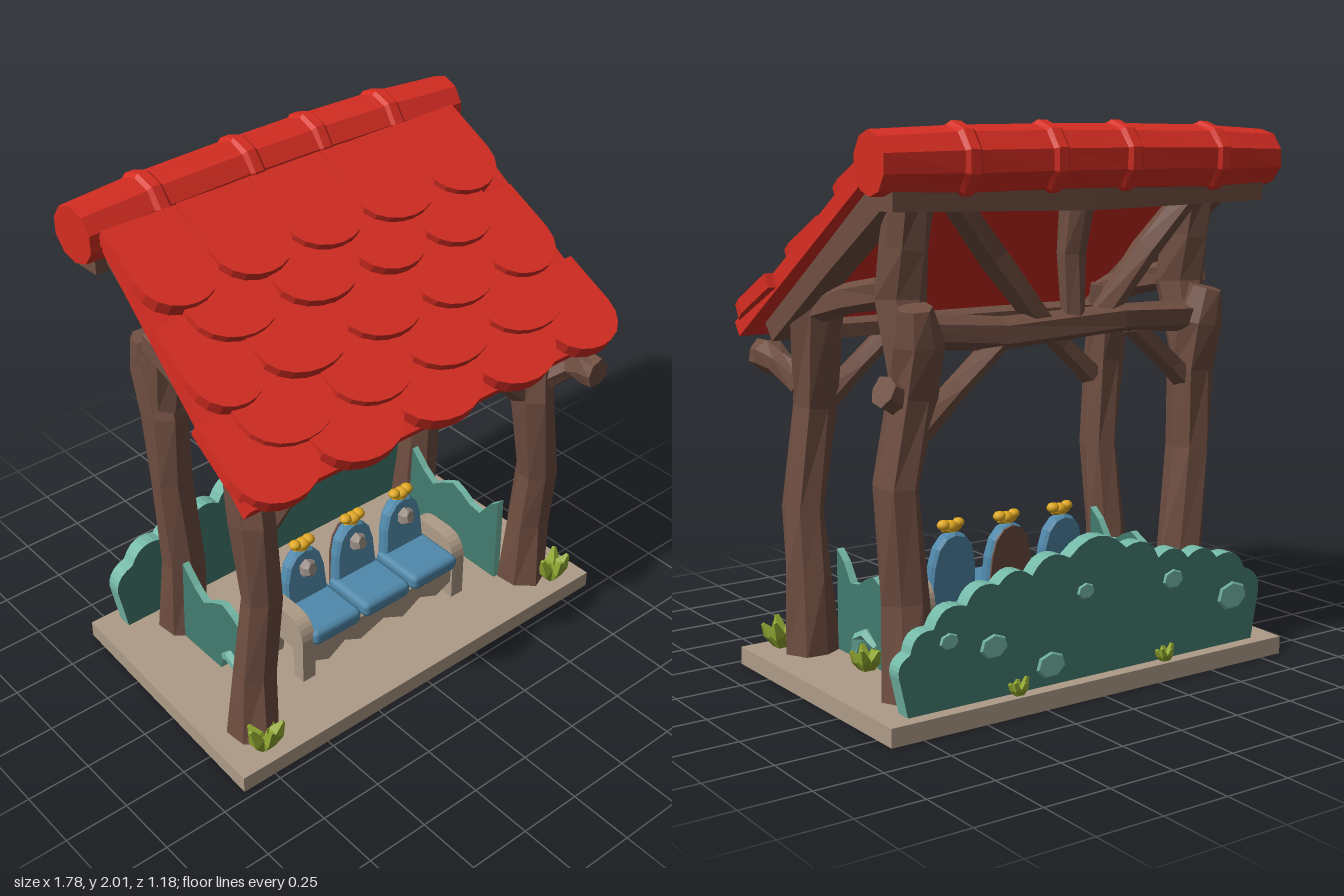
import * as THREE from 'three';
import { RoundedBoxGeometry } from 'three/addons/geometries/RoundedBoxGeometry.js';

const paint = (name, color) => Object.assign(new THREE.MeshStandardMaterial({ color }), { name });

export function createModel() {
  const model = new THREE.Group();
  model.name = 'shelter';
  const stone = paint('pale stone', 0xae9b87), wood = paint('brown wood', 0x6f4e41);
  const red = paint('red tile', 0xd62d22), blue = paint('blue cushion', 0x5089ab);
  const hedge = paint('dark hedge', 0x437b6f), hedgeEdge = paint('light hedge edge', 0x74b8a7);
  const gold = paint('gold', 0xe0a820), green = paint('grass green', 0x8ea430), grey = paint('grey knob', 0x988c84);

  const add = (name, geo, mat, parent = model) => {
    const g = geo.index ? geo.toNonIndexed() : geo;
    if (geo.index) g.computeVertexNormals(); // faceted look
    const m = new THREE.Mesh(g, mat);
    m.name = name;
    parent.add(m);
    return m;
  };

  // Faceted, slightly gnarled limb through [x, y, z, radius] points
  const limb = (name, pts, mat = wood, n = 7, rough = 0.1, parent = model) => {
    const P = pts.map(p => new THREE.Vector3(p[0], p[1], p[2]));
    const dir = P[P.length - 1].clone().sub(P[0]).normalize();
    const ref = Math.abs(dir.y) > 0.75 ? new THREE.Vector3(0, 0, 1) : new THREE.Vector3(0, 1, 0);
    const pos = [], idx = [];
    P.forEach((p, i) => {
      const t = P[Math.min(i + 1, P.length - 1)].clone().sub(P[Math.max(i - 1, 0)]).normalize();
      const u = ref.clone().cross(t).normalize(), v = t.clone().cross(u);
      for (let j = 0; j < n; j++) {
        const a = (j + 0.5) / n * Math.PI * 2, r = pts[i][3] * (1 + rough * Math.sin(j * 2.3 + i * 1.7));
        pos.push(...p.clone().addScaledVector(u, r * Math.cos(a)).addScaledVector(v, r * Math.sin(a)).toArray());
      }
    });
    const end = P.length - 1, c0 = pos.length / 3;
    pos.push(...P[0].toArray(), ...P[end].toArray());
    for (let j = 0; j < n; j++) {
      const k = (j + 1) % n;
      for (let i = 0; i < end; i++) {
        const a = i * n + j, b = i * n + k;
        idx.push(a, b, b + n, a, b + n, a + n);
      }
      idx.push(c0, k, j, c0 + 1, end * n + j, end * n + k);
    }
    const g = new THREE.BufferGeometry();
    g.setAttribute('position', new THREE.Float32BufferAttribute(pos, 3));
    g.setIndex(idx);
    return add(name, g, mat, parent);
  };
  const poly = pts => new THREE.Shape(pts.map(p => new THREE.Vector2(p[0], p[1])));
  const slab = (shape, depth, opt = {}) =>
    new THREE.ExtrudeGeometry(shape, { depth, bevelEnabled: false, curveSegments: 6, ...opt });

  // Floor, a little narrower at the back
  const floor = slab(poly([[-0.89, -0.47], [0.89, -0.47], [0.875, 0.59], [-0.845, 0.59]]), 0.067);
  add('floor', floor.rotateX(-Math.PI / 2), stone);

  // Front posts with the knot on one of them
  limb('frontPost', [[-0.7, 0.05, 0.29, 0.1], [-0.69, 0.35, 0.29, 0.08], [-0.67, 0.7, 0.31, 0.075],
    [-0.69, 1.05, 0.31, 0.085], [-0.68, 1.36, 0.27, 0.08]]);
  limb('frontPost', [[0.69, 0.05, 0.29, 0.1], [0.7, 0.35, 0.29, 0.085], [0.7, 0.6, 0.31, 0.08],
    [0.65, 0.98, 0.31, 0.085], [0.66, 1.36, 0.27, 0.095]]);
  limb('frontKnot', [[0.68, 1.06, 0.33, 0.06], [0.73, 1.13, 0.42, 0.05], [0.74, 1.15, 0.49, 0.065], [0.74, 1.15, 0.55, 0.055]]);

  // Rear posts: trunk with a broken top and a limb up to the ridge
  for (const [s, x0, x1] of [[-1, 0.55, 0.58], [1, 0.67, 0.64]]) {
    limb('rearPost', [[s * x0, 0.05, -0.36, 0.1], [s * x0, 0.4, -0.34, 0.085], [s * (x0 + 0.03), 0.8, -0.35, 0.08],
      [s * x1, 1.1, -0.35, 0.09], [s * x1, 1.28, -0.39, 0.085], [s * (x1 + 0.02), 1.4, -0.41, 0.06]]);
    limb('rearUpperLimb', [[s * x1, 1.15, -0.33, 0.07], [s * x1, 1.42, -0.28, 0.09], [s * x1, 1.6, -0.32, 0.085], [s * x1, 1.8, -0.36, 0.085]]);
    // Side beam, rafter and knee braces
    limb('sideBeam', [[s * 0.67, 1.33, 0.29, 0.055], [s * 0.66, 1.4, 0, 0.06], [s * 0.63, 1.45, -0.3, 0.06]], wood, 6);
    limb('rafter', [[s * 0.73, 1.26, 0.41, 0.075], [s * 0.71, 1.53, 0.03, 0.075], [s * 0.69, 1.82, -0.4, 0.075]], wood, 4, 0);
    for (const z of [0.3, -0.37])
      limb('kneeBrace', [[s * 0.62, 0.99, z, 0.05], [s * 0.47, 1.12, z, 0.04], [s * 0.28, 1.28, z, 0.045]], wood, 5);
    // Struts fanning up from the rear beam
    limb('roofStrut', [[s * 0.13, 1.32, -0.38, 0.045], [s * 0.33, 1.55, -0.38, 0.05], [s * 0.52, 1.76, -0.41, 0.05]], wood, 5);
  }
  limb('centreStrut', [[0, 1.31, -0.39, 0.045], [0.01, 1.55, -0.39, 0.05], [0, 1.78, -0.42, 0.06]], wood, 6);
  limb('rearStub', [[0.65, 1.05, -0.36, 0.05], [0.72, 1.11, -0.36, 0.055], [0.76, 1.13, -0.37, 0.055]]);
  add('frontBeam', new THREE.BoxGeometry(1.42, 0.05, 0.19), wood).position.set(0, 1.255, 0.325);
  limb('rearBeam', [[-0.66, 1.29, -0.37, 0.06], [-0.2, 1.31, -0.39, 0.055], [0.3, 1.29, -0.38, 0.06], [0.66, 1.32, -0.37, 0.06]], wood, 6);
  limb('ridgeBeam', [[-0.79, 1.77, -0.44, 0.075], [0, 1.755, -0.46, 0.075], [0.79, 1.77, -0.44, 0.075]], wood, 4, 0);

  // Roof: local y runs up the slope, local z points out of it
  const roof = new THREE.Group(), pitch = 36 * Math.PI / 180;
  roof.name = 'roof';
  roof.position.set(0, 1.2, 0.53);
  roof.rotation.x = pitch - Math.PI / 2;
  model.add(roof);
  add('roofPanel', slab(poly([[-0.855, 0.05], [0.855, 0.05], [0.785, 1.12], [-0.785, 1.12]]), 0.06), red, roof);
  // Each row: distance up the slope, then the joints between its tiles
  const rows = [
    [0.005, [-0.865, -0.54, -0.18, 0.19, 0.55, 0.87]],
    [0.165, [-0.73, -0.37, -0.03, 0.34, 0.71]],
    [0.355, [-0.82, -0.55, -0.19, 0.15, 0.5, 0.81]],
    [0.56, [-0.69, -0.35, 0.0, 0.31, 0.64]],
    [0.73, [-0.8, -0.5, -0.19, 0.13, 0.47, 0.78]],
  ];
  rows.forEach(([s, xs], r) => {
    for (let i = 0; i < xs.length - 1; i++) {
      const w = (xs[i + 1] - xs[i]) / 2 + 0.004, d = 0.15, len = 0.37;
      const tile = new THREE.Shape();
      tile.moveTo(-w, d);
      tile.bezierCurveTo(-w, -0.05, w, -0.05, w, d);
      tile.lineTo(w * 0.95, len);
      tile.lineTo(-w * 0.95, len);
      const geo = slab(tile, 0.055, { curveSegments: 10 });
      geo.translate(0, -len, 0);
      const m = add('roofTile', geo, red, roof);
      m.position.set((xs[i] + xs[i + 1]) / 2, s + len, 0.008 + r * 0.004 + (i % 2) * 0.006);
      m.rotation.x = -0.12 - (i % 3) * 0.015;
    }
  });

  // Ridge cap with collars, bowed slightly to the rear
  const ridge = (x, r) => [x, 1.878 - 0.01 * Math.abs(x), -0.42 - 0.035 * (1 - x * x), r];
  limb('ridgeCap', [-0.84, -0.53, -0.13, 0.19, 0.52, 0.84].map((x, i) => ridge(x, i % 5 ? 0.118 : 0.106)), red, 10, 0.01);
  for (const x of [-0.54, -0.13, 0.18, 0.52])
    limb('ridgeCollar', [ridge(x - 0.035, 0.115), ridge(x - 0.018, 0.13), ridge(x + 0.018, 0.13), ridge(x + 0.035, 0.115)], red, 10, 0.01);

  // Back hedge with a scalloped top
  const back = new THREE.Shape();
  back.moveTo(-0.74, 0.06);
  let px = -0.77, py = 0.22;
  back.lineTo(px, py);
  for (const [x, y] of [[-0.7, 0.35], [-0.56, 0.41], [-0.42, 0.43], [-0.28, 0.45], [-0.13, 0.51], [0.12, 0.51],
    [0.28, 0.47], [0.42, 0.46], [0.55, 0.41], [0.68, 0.35], [0.77, 0.28], [0.81, 0.19]]) {
    const dx = x - px, dy = y - py;
    back.quadraticCurveTo((px + x) / 2 - dy * 0.48, (py + y) / 2 + dx * 0.48, x, y);
    px = x; py = y;
  }
  back.lineTo(0.78, 0.06);
  add('backHedge', slab(back, 0.06), [hedge, hedgeEdge]).position.z = -0.54;
  for (const [x, y, r] of [[0.44, 0.25, 0.06], [0.2, 0.14, 0.065], [-0.35, 0.36, 0.05], [-0.64, 0.25, 0.075], [0.05, 0.38, 0.04], [0.62, 0.3, 0.04]]) {
    const leaf = add('hedgeLeaf', new THREE.CylinderGeometry(r * 0.85, r, 0.008, 7), hedgeEdge);
    leaf.rotation.x = -Math.PI / 2;
    leaf.position.set(x, y, -0.543);
    leaf.scale.z = 0.75;
  }

  // Side hedges between the posts, each with a small gap at the foot
  const side = [[-0.24, 0.06], [-0.24, 0.45], [-0.19, 0.41], [-0.14, 0.34], [-0.08, 0.35], [-0.03, 0.38], [0.02, 0.4],
    [0.08, 0.37], [0.14, 0.33], [0.2, 0.37], [0.27, 0.44], [0.29, 0.06], [0.05, 0.06], [0.03, 0.13], [-0.03, 0.13], [-0.07, 0.06]];
  for (const s of [-1, 1]) {
    const geo = slab(poly([...side].reverse()), 0.03);
    geo.rotateY(Math.PI / 2);
    add('sideHedge', geo, [hedge, hedgeEdge]).position.x = s * 0.59 - 0.015;
    // Pale sprig arching over the gap
    limb('sprig', [[s * 0.6, 0.07, 0.12, 0.022], [s * 0.61, 0.15, 0.08, 0.026], [s * 0.61, 0.18, 0.02, 0.024], [s * 0.6, 0.14, -0.03, 0.015]], hedgeEdge, 5);
  }

  // Bench: jagged apron, seat and arched arms
  const apron = poly([[-0.37, 0.22], [-0.37, 0.14], [-0.28, 0.1], [-0.2, 0.15], [-0.12, 0.11], [0, 0.15],
    [0.1, 0.1], [0.19, 0.15], [0.28, 0.11], [0.37, 0.15], [0.37, 0.22]]);
  add('benchSeat', slab(apron, 0.22), stone).position.z = -0.01;
  for (const s of [-1, 1]) {
    const arm = new THREE.Shape();
    arm.moveTo(-0.22, 0.06);
    arm.lineTo(-0.22, 0.26);
    arm.quadraticCurveTo(-0.21, 0.35, -0.12, 0.35);
    arm.lineTo(-0.04, 0.35);
    arm.quadraticCurveTo(0.04, 0.34, 0.04, 0.26);
    arm.lineTo(0.04, 0.06);
    arm.lineTo(-0.02, 0.06);
    arm.lineTo(-0.04, 0.2);
    arm.lineTo(-0.16, 0.2);
    arm.lineTo(-0.17, 0.06);
    const geo = slab(arm, 0.06);
    geo.rotateY(Math.PI / 2);
    add('benchArm', geo, stone).position.x = s * 0.385 - 0.03;
  }

  // Three seats with crowned backrests
  const seatBack = k => {
    const sh = new THREE.Shape();
    sh.moveTo(-0.095 * k, 0);
    sh.lineTo(0.095 * k, 0);
    sh.lineTo(0.085 * k, 0.14);
    sh.bezierCurveTo(0.07 * k, 0.29 * k, -0.07 * k, 0.29 * k, -0.085 * k, 0.14);
    return sh;
  };
  [-0.25, 0, 0.25].forEach((x, i) => {
    const seat = new THREE.Group();
    seat.name = 'seat';
    seat.position.set(x, 0, 0);
    model.add(seat);
    add('cushion', new RoundedBoxGeometry(0.235, 0.07, 0.24, 1, 0.025), blue, seat).position.set(0, 0.255, 0.12);
    const b = add('backrest', slab(seatBack(1), 0.03, { bevelEnabled: true, bevelSize: 0.01, bevelThickness: 0.012, bevelSegments: 1 }), blue, seat);
    b.position.set(0, 0.25, 0.01);
    b.rotation.x = -0.07;
    if (i === 1) {
      const p = add('backrestPanel', slab(seatBack(1.02), 0.008), wood, seat);
      p.position.set(0, 0.25, -0.01);
      p.rotation.x = -0.07;
    }
    limb('knob', [[0, 0.435, 0.02, 0.035], [0, 0.435, 0.06, 0.036], [0.005, 0.44, 0.075, 0.026]], grey, 6, 0.05, seat);
    limb('crownBand', [[-0.035, 0.53, 0.015, 0.018], [0, 0.522, 0.015, 0.026], [0.035, 0.53, 0.015, 0.018]], gold, 6, 0.05, seat);
    for (const [dx, dy, r] of [[-0.032, 0.54, 0.024], [0.004, 0.53, 0.03], [0.032, 0.537, 0.026]]) {
      const c = add('crown', new THREE.IcosahedronGeometry(r, 1), gold, seat);
      c.position.set(dx, dy, 0.015);
      c.scale.y = 0.8;
    }
  });

  // Grass tufts
  for (const [x, z, k] of [[-0.73, 0.39, 1], [0.76, 0.39, 1], [0.64, -0.03, 0.8], [0.35, -0.56, 0.5], [-0.3, -0.56, 0.5]])
    for (let i = 0; i < 5; i++) {
      const a = i * 1.257 + 0.4, c = Math.cos(a) * k, s = Math.sin(a) * k * (k < 0.6 ? 0.4 : 0.7);
      limb('grassBlade', [[x, 0.06, z, 0.024 * k], [x + c * 0.045, 0.06 + 0.06 * k, z + s * 0.045, 0.032 * k],
        [x + c * 0.075, 0.06 + (0.1 + 0.015 * (i % 3)) * k, z + s * 0.075, 0.008]], green, 4, 0);
    }
  return model;
}
